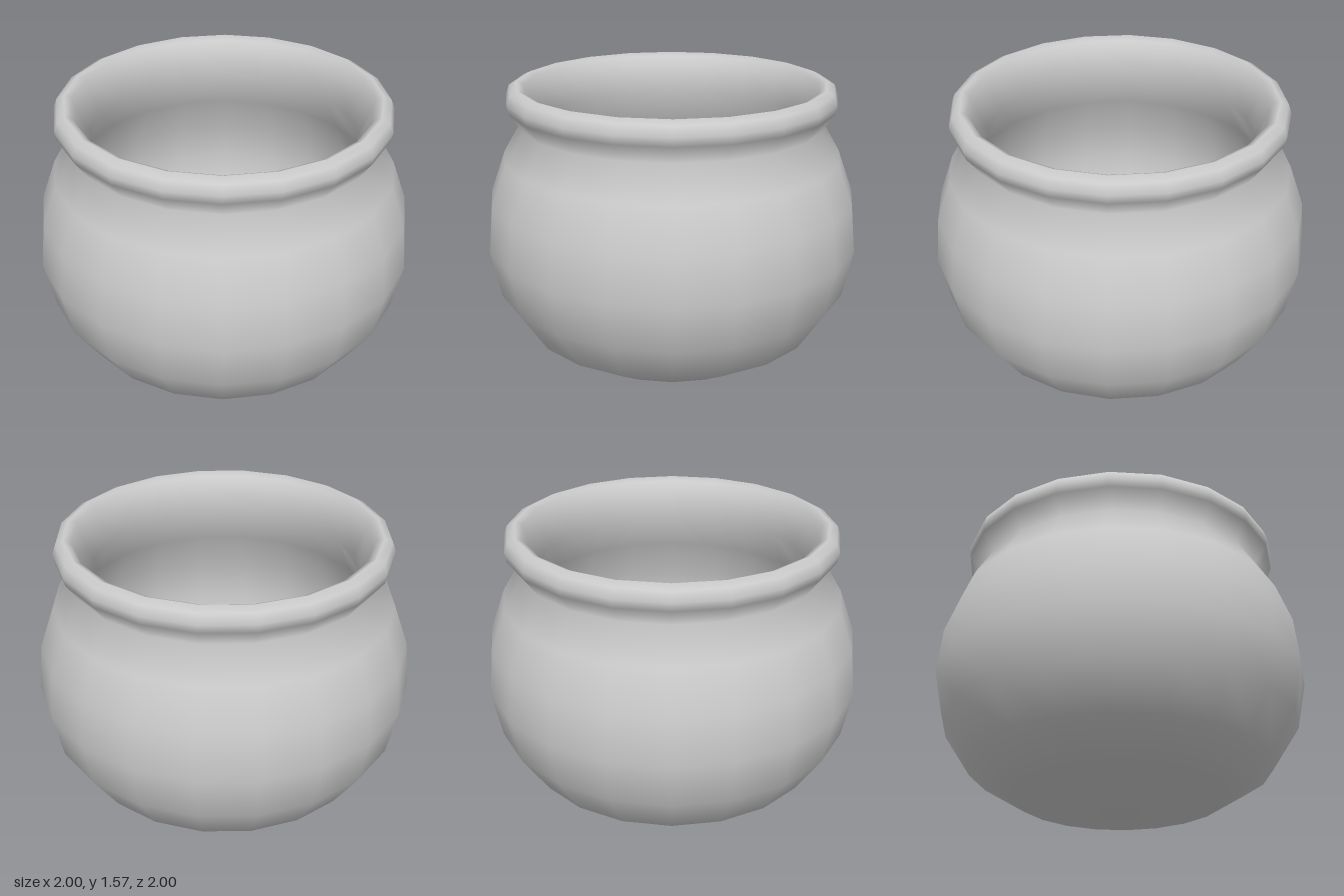
import * as THREE from 'three';

const SIDES = 20;

export function createModel() {
  const group = new THREE.Group();
  group.name = 'pot';
  const material = new THREE.MeshStandardMaterial({ color: 0xcccccc });

  const addLathe = (name, profile) => {
    const points = profile.map(([r, y]) => new THREE.Vector2(r, y));
    const mesh = new THREE.Mesh(new THREE.LatheGeometry(points, SIDES), material);
    mesh.name = name;
    group.add(mesh);
  };

  // Round belly, pinched neck, rolled rim and inner wall, from the base up and back down inside
  addLathe('potWall', [
    [0, 0], [0.56, 0.1], [0.805, 0.25], [0.95, 0.475], [1, 0.725], [0.975, 0.97], [0.895, 1.19],
    [0.795, 1.36],
    [0.862, 1.455], [0.87, 1.5], [0.852, 1.55], [0.81, 1.57], [0.775, 1.553], [0.757, 1.5],
    [0.695, 1.36],
    [0.79, 1.16], [0.87, 0.95], [0.9, 0.725], [0.85, 0.51], [0.72, 0.31],
  ]);

  // Flat floor inside the pot
  addLathe('innerFloor', [[0.72, 0.31], [0, 0.31]]);

  return group;
}
